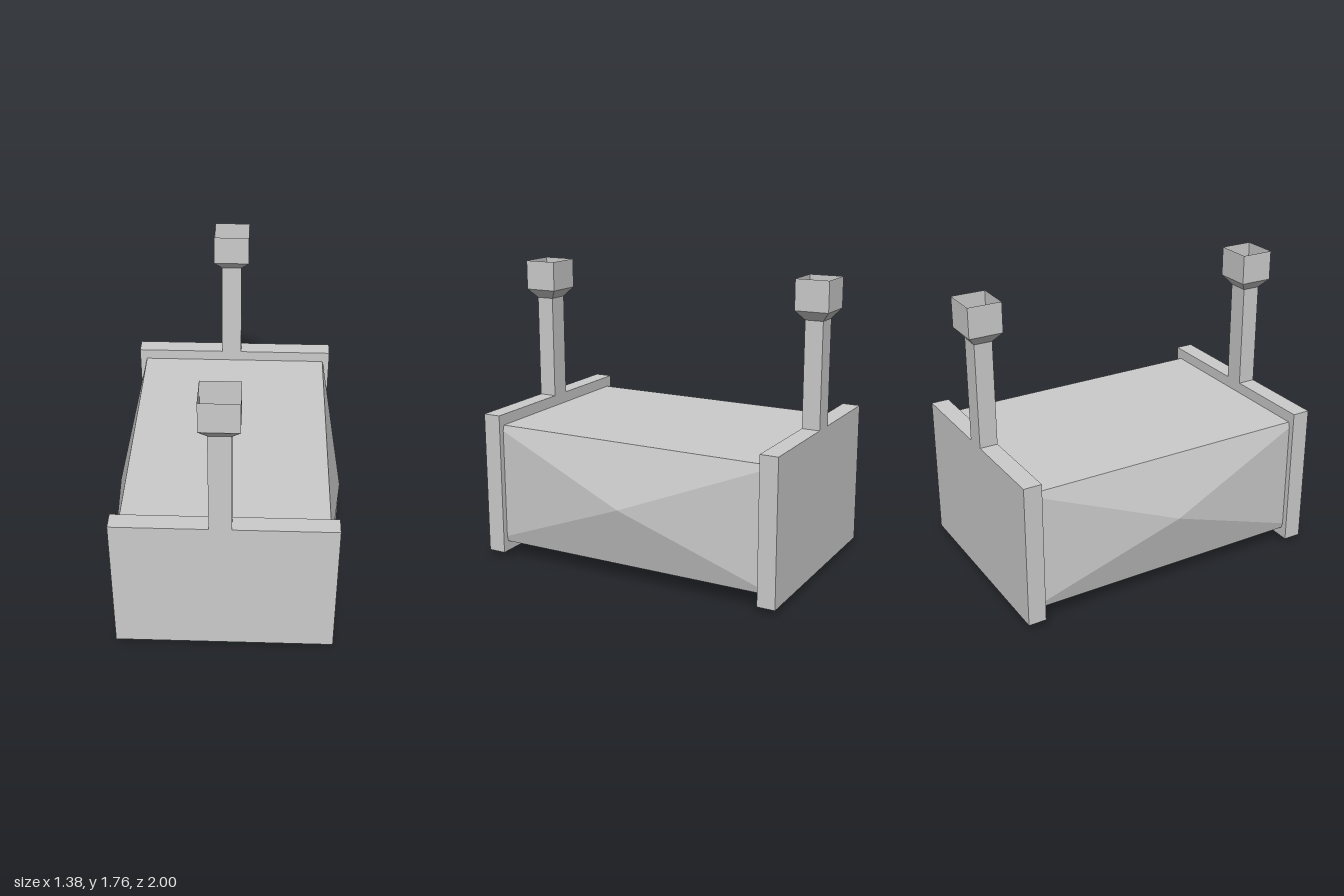
import * as THREE from 'three';

const material = new THREE.MeshStandardMaterial({
  color: 0xcccccc, flatShading: true, side: THREE.DoubleSide,
});

// Mesh from a list of polygons, each fanned into triangles with flat normals
function polyMesh(name, polygons) {
  const pos = [];
  for (const p of polygons) {
    for (let i = 1; i < p.length - 1; i++) pos.push(...p[0], ...p[i], ...p[i + 1]);
  }
  const geo = new THREE.BufferGeometry();
  geo.setAttribute('position', new THREE.Float32BufferAttribute(pos, 3));
  geo.computeVertexNormals();
  const mesh = new THREE.Mesh(geo, material);
  mesh.name = name;
  return mesh;
}

// Rectangular ring, counter-clockwise from above: centre x, height, half sizes
const ring = (cx, y, hx, hz) => [
  [cx - hx, y, hz], [cx + hx, y, hz], [cx + hx, y, -hz], [cx - hx, y, -hz],
];

// Thin walls through successive rings, optionally closed at the bottom
function shell(name, rings, floor = false) {
  const polys = floor ? [[...rings[0]].reverse()] : [];
  for (let k = 0; k < rings.length - 1; k++) {
    const a = rings[k], b = rings[k + 1];
    for (let i = 0; i < 4; i++) {
      const j = (i + 1) % 4;
      polys.push([a[i], a[j], b[j], b[i]]);
    }
  }
  return polyMesh(name, polys);
}

// Tank: flat top and ends, sides and underside rising to shallow points
function makeTank() {
  const lo = ring(0, 0.097, 0.588, 0.932);
  const hi = ring(0, 0.834, 0.588, 0.932);
  const polys = [hi];
  const face = (corners, apex) => corners.forEach((c, i) =>
    polys.push([c, corners[(i + 1) % 4], apex]));
  polys.push([lo[0], lo[1], hi[1], hi[0]]);
  polys.push([lo[2], lo[3], hi[3], hi[2]]);
  face([lo[1], lo[2], hi[2], hi[1]], [0.688, 0.465, 0]);
  face([lo[3], lo[0], hi[0], hi[3]], [-0.688, 0.465, 0]);
  face([...lo].reverse(), [0, 0, 0]);
  return polyMesh('tank', polys);
}

// Hollow end plate opening into a square pipe with a cup on top
function makeEnd(name, z) {
  const px = -0.019, phx = 0.063, hz = 0.054;
  const end = new THREE.Group();
  end.name = name;
  end.add(
    shell('endPlate', [
      ring(0, 0.035, 0.632, hz), ring(0, 0.9, 0.632, hz), ring(px, 0.9, phx, hz),
    ], true),
    shell('pipe', [ring(px, 0.9, phx, hz), ring(px, 1.525, phx, hz)]),
    shell('funnel', [ring(px, 1.525, phx, hz), ring(px, 1.58, 0.109, 0.1)]),
    shell('cup', [ring(px, 1.58, 0.109, 0.1), ring(px, 1.758, 0.109, 0.1)]),
  );
  end.position.z = z;
  return end;
}

export function createModel() {
  const model = new THREE.Group();
  model.name = 'tankWithPipes';
  model.add(makeTank(), makeEnd('frontEnd', 0.9), makeEnd('backEnd', -0.9));
  return model;
}
